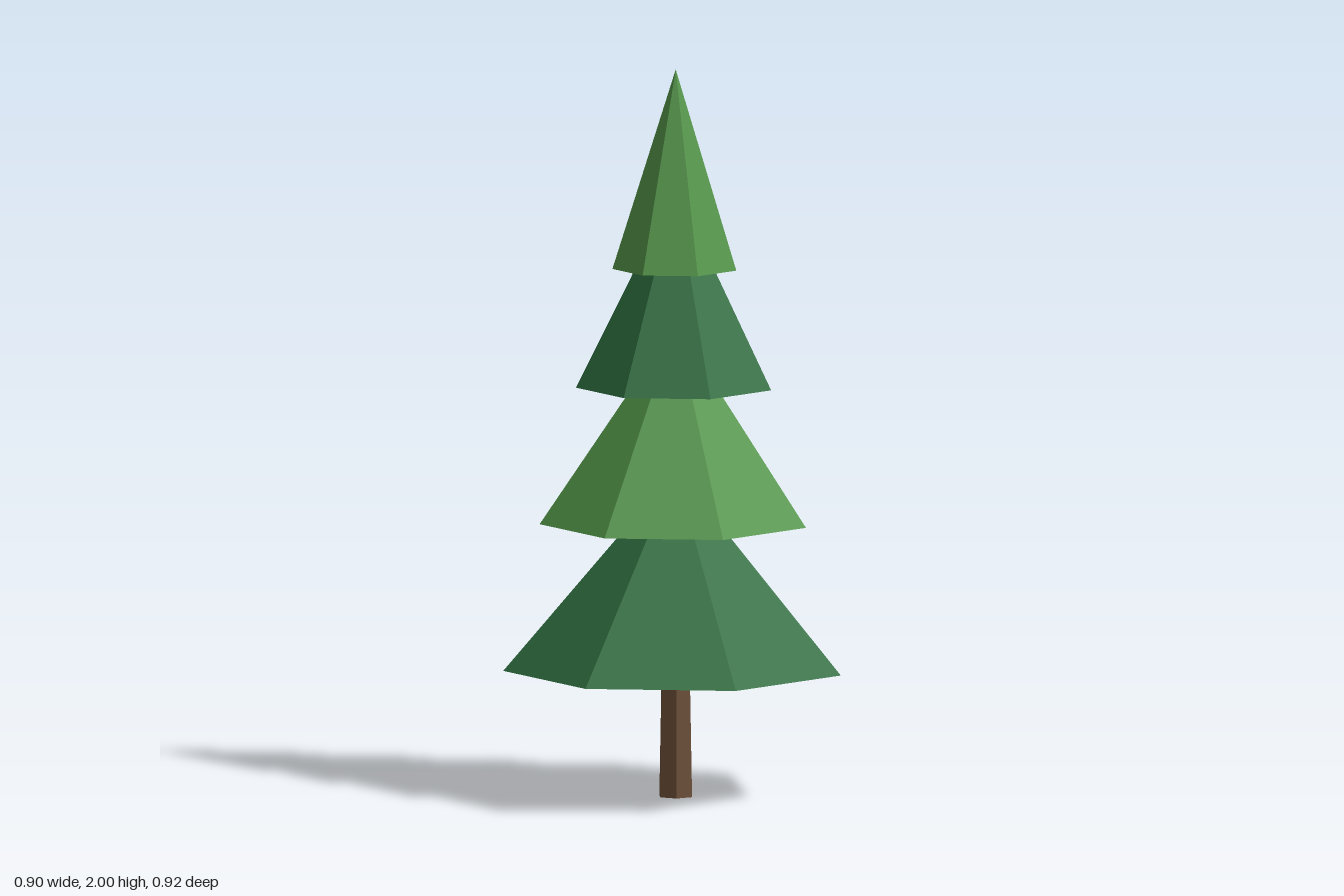
import * as THREE from 'three';

const AXIS_X = -0.024; // seven-sided tiers are off-centre so their bounds are centred

function makeMaterial(name, color) {
  const material = new THREE.MeshStandardMaterial({ color, flatShading: true });
  material.name = name;
  return material;
}

export function createModel() {
  const tree = new THREE.Group();
  tree.name = 'pineTree';

  const darkGreen = makeMaterial('darkGreen', 0x2f6f40);
  const lightGreen = makeMaterial('lightGreen', 0x54964a);
  const brown = makeMaterial('barkBrown', 0x6b4f37);

  // Tapered hexagonal trunk, with a corner pointing to +x
  const trunkHeight = 0.4;
  const trunk = new THREE.Mesh(
    new THREE.CylinderGeometry(0.042, 0.05, trunkHeight, 6, 1, false, Math.PI / 2),
    brown
  );
  trunk.name = 'trunk';
  trunk.position.set(AXIS_X, trunkHeight / 2, 0);
  tree.add(trunk);

  // Four seven-sided foliage cones, overlapping and alternating in colour
  const tierHeight = 0.546;
  const tiers = [
    { name: 'bottomFoliage', base: 0.353, radius: 0.474, material: darkGreen },
    { name: 'lowerFoliage', base: 0.755, radius: 0.374, material: lightGreen },
    { name: 'upperFoliage', base: 1.129, radius: 0.274, material: darkGreen },
    { name: 'topFoliage', base: 1.454, radius: 0.174, material: lightGreen },
  ];
  for (const { name, base, radius, material } of tiers) {
    const cone = new THREE.Mesh(
      new THREE.ConeGeometry(radius, tierHeight, 7, 1, false, Math.PI / 2),
      material
    );
    cone.name = name;
    cone.position.set(AXIS_X, base + tierHeight / 2, 0);
    tree.add(cone);
  }

  return tree;
}
